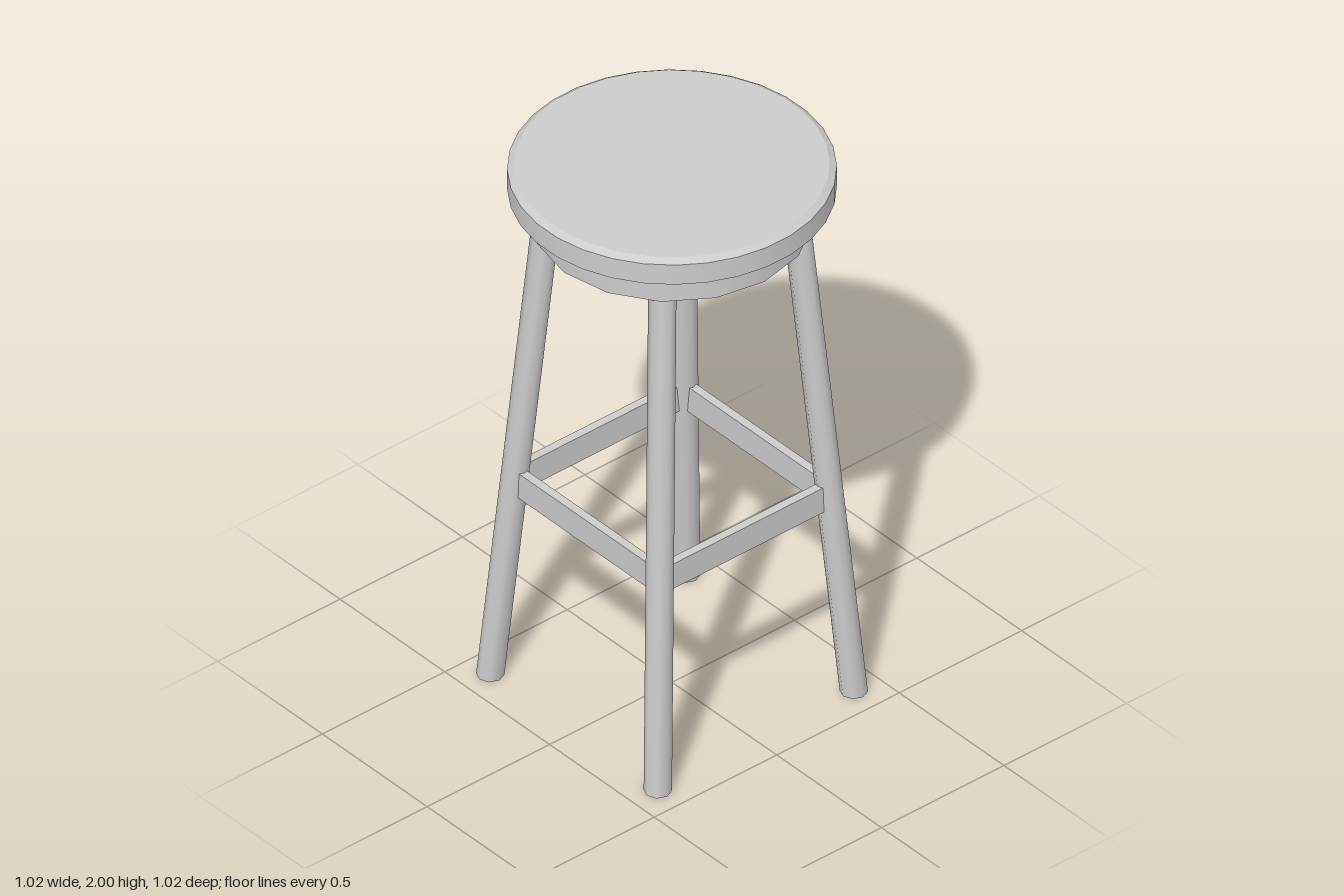
import * as THREE from 'three';
import { toCreasedNormals } from 'three/addons/utils/BufferGeometryUtils.js';

const material = new THREE.MeshStandardMaterial({ color: 0xcccccc, side: THREE.DoubleSide });

function addMesh(parent, name, geometry, crease = 0.5) {
  const mesh = new THREE.Mesh(toCreasedNormals(geometry, crease), material);
  mesh.name = name;
  parent.add(mesh);
  return mesh;
}

// Turned part from [radius, height] pairs
function turned(points, sides, start = 0) {
  return new THREE.LatheGeometry(points.map(([r, y]) => new THREE.Vector2(r, y)), sides, start);
}

export function createModel() {
  const stool = new THREE.Group();
  stool.name = 'stool';

  // Round seat with a small bevel around the top
  addMesh(stool, 'seat', turned(
    [[0, 1.91], [0.512, 1.91], [0.512, 1.985], [0.49, 2], [0, 2]], 32, Math.PI / 32));

  // Thick ring under the seat, open in the middle
  addMesh(stool, 'apronRing', turned(
    [[0.32, 1.91], [0.32, 1.79], [0.44, 1.79], [0.44, 1.91]], 16));

  // Splayed legs: upright cylinders sheared so both ends stay level
  const legHeight = 1.89;
  const legOffset = (y) => 0.4 - 0.07 * y;
  for (const sx of [-1, 1]) {
    for (const sz of [-1, 1]) {
      const leg = new THREE.CylinderGeometry(0.044, 0.044, legHeight, 8);
      leg.translate(0, legHeight / 2, 0);
      const p = leg.attributes.position;
      for (let i = 0; i < p.count; i++) {
        const offset = legOffset(p.getY(i));
        p.setX(i, p.getX(i) + sx * offset);
        p.setZ(i, p.getZ(i) + sz * offset);
      }
      addMesh(stool, 'leg', leg, 1);
    }
  }

  // Four flat footrest rails joining the legs
  const railY = 0.757;
  const reach = legOffset(railY);
  for (let i = 0; i < 4; i++) {
    const rail = new THREE.BoxGeometry(reach * 2, 0.095, 0.03);
    rail.translate(0, railY, reach);
    rail.rotateY(i * Math.PI / 2);
    addMesh(stool, 'footRail', rail);
  }

  return stool;
}
